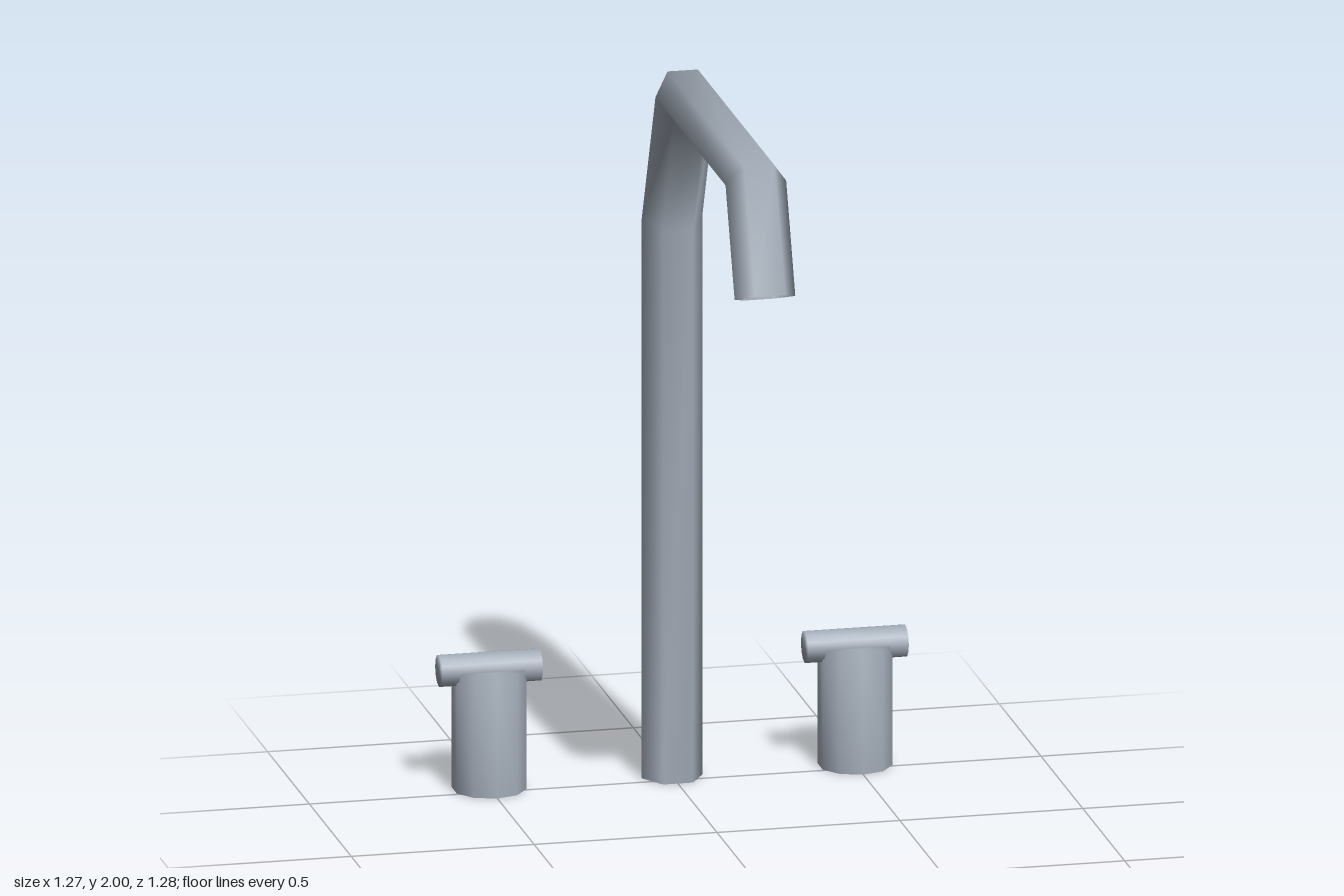
import * as THREE from 'three';
import { mergeVertices } from 'three/addons/utils/BufferGeometryUtils.js';

// Weld a geometry so its normals run smoothly over every edge
function soften(geometry) {
  geometry.deleteAttribute('normal');
  geometry.deleteAttribute('uv');
  const welded = mergeVertices(geometry, 1e-4);
  welded.computeVertexNormals();
  return welded;
}

// Open six-sided tube through mitred rings, each given as [outerZ, outerY, innerZ, innerY]
function hexTube(rings, halfWidth) {
  const sides = 6, positions = [], index = [];
  rings.forEach(([oz, oy, iz, iy], i) => {
    const mz = (oz + iz) / 2, my = (oy + iy) / 2;
    const k = 1 / Math.sin(Math.PI / 3);
    for (let j = 0; j < sides; j++) {
      const a = (j / sides) * Math.PI * 2, s = Math.sin(a) * k;
      positions.push(Math.cos(a) * halfWidth, my + (oy - my) * s, mz + (oz - mz) * s);
      if (i < rings.length - 1) {
        const p = i * sides + j, q = i * sides + ((j + 1) % sides);
        index.push(p, q, q + sides, p, q + sides, p + sides);
      }
    }
  });
  const geometry = new THREE.BufferGeometry();
  geometry.setAttribute('position', new THREE.Float32BufferAttribute(positions, 3));
  geometry.setIndex(index);
  geometry.computeVertexNormals();
  return geometry;
}

export function createModel() {
  const model = new THREE.Group();
  model.name = 'faucet';
  const steel = new THREE.MeshStandardMaterial({ color: 0xa3acb8, side: THREE.DoubleSide });
  steel.name = 'brushed steel';

  // Spout: riser, slanted shoulder, level arm and down-turned tip
  const spout = new THREE.Mesh(hexTube([
    [-0.607, 0, -0.467, 0],
    [-0.607, 1.573, -0.467, 1.54],
    [-0.41, 2.0, -0.335, 1.885],
    [0.503, 2.0, 0.425, 1.885],
    [0.638, 1.677, 0.508, 1.63],
  ], 0.083), steel);
  spout.name = 'spout';
  model.add(spout);

  // Valve body: ten-sided, closed on top and open underneath
  const bodyGeometry = soften(new THREE.LatheGeometry(
    [new THREE.Vector2(0.1, 0), new THREE.Vector2(0.1, 0.335), new THREE.Vector2(0, 0.335)], 10));
  // Cross handle: closed bar lying along x
  const barGeometry = soften(new THREE.CylinderGeometry(0.044, 0.044, 0.275, 12).rotateZ(Math.PI / 2));

  for (const [side, label] of [[1, 'left'], [-1, 'right']]) {
    const valve = new THREE.Group();
    valve.name = label + 'Valve';
    valve.position.set(side * 0.5, 0, -0.538);
    const body = new THREE.Mesh(bodyGeometry, steel);
    body.name = 'valveBody';
    const bar = new THREE.Mesh(barGeometry, steel);
    bar.name = 'handleBar';
    bar.position.y = 0.335;
    valve.add(body, bar);
    model.add(valve);
  }
  return model;
}
